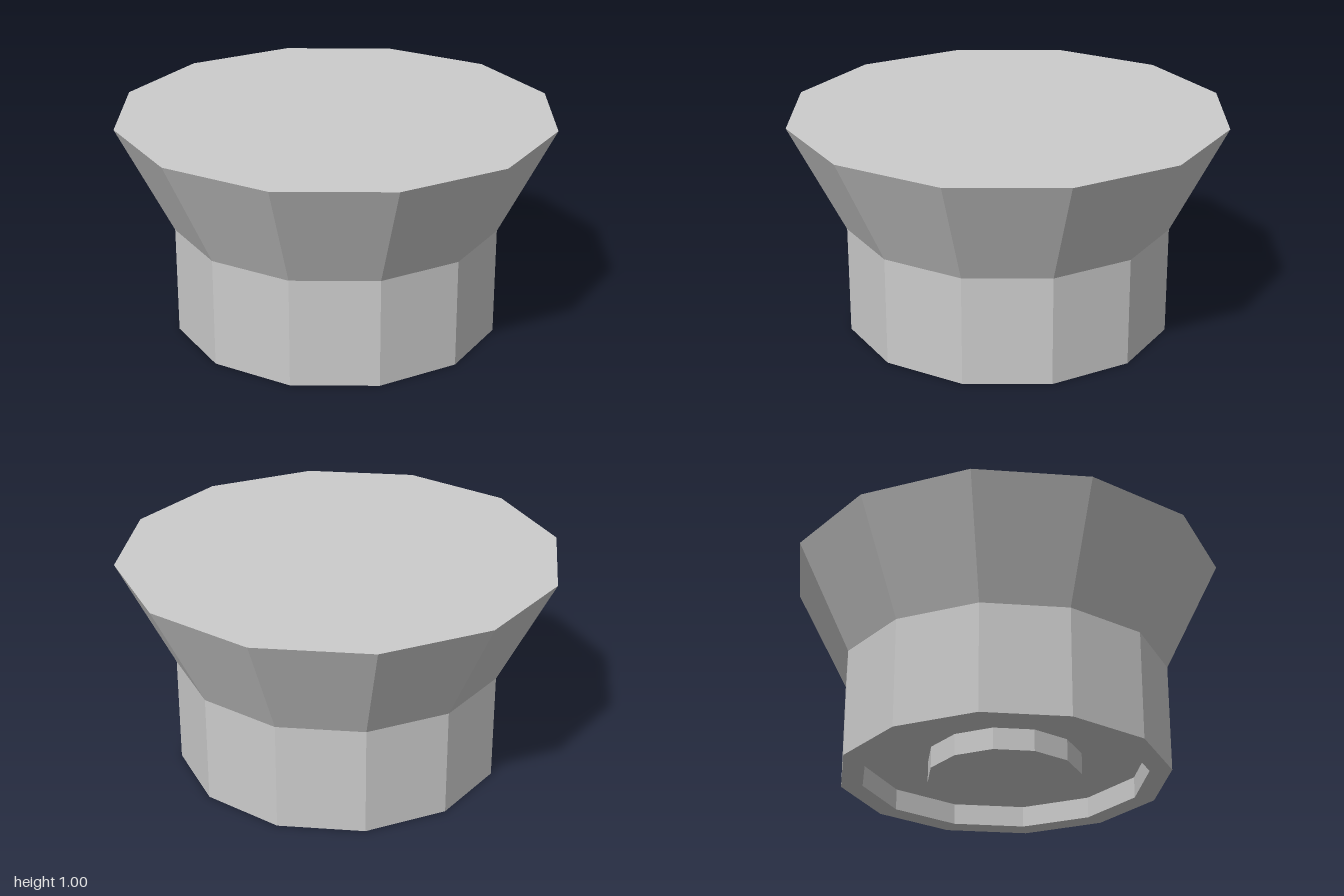
import * as THREE from 'three';

const SIDES = 12;

export function createModel() {
  const model = new THREE.Group();
  const material = new THREE.MeshStandardMaterial({ color: 0xcccccc, flatShading: true });

  // Turned profile [radius, height], from the underside centre out and up to the top centre
  const profile = [
    [0, 0], [0.35, 0], [0.35, 0.1],       // central boss, flush with the rim
    [0.65, 0.1], [0.65, 0], [0.75, 0],    // ring recess and base rim
    [0.75, 0.5],                          // straight stem
    [1, 1], [0, 1],                       // flared head and flat top
  ].map(([r, y]) => new THREE.Vector2(r, y));

  const knob = new THREE.Mesh(new THREE.LatheGeometry(profile, SIDES), material);
  knob.name = 'knobBody';
  model.add(knob);
  return model;
}
